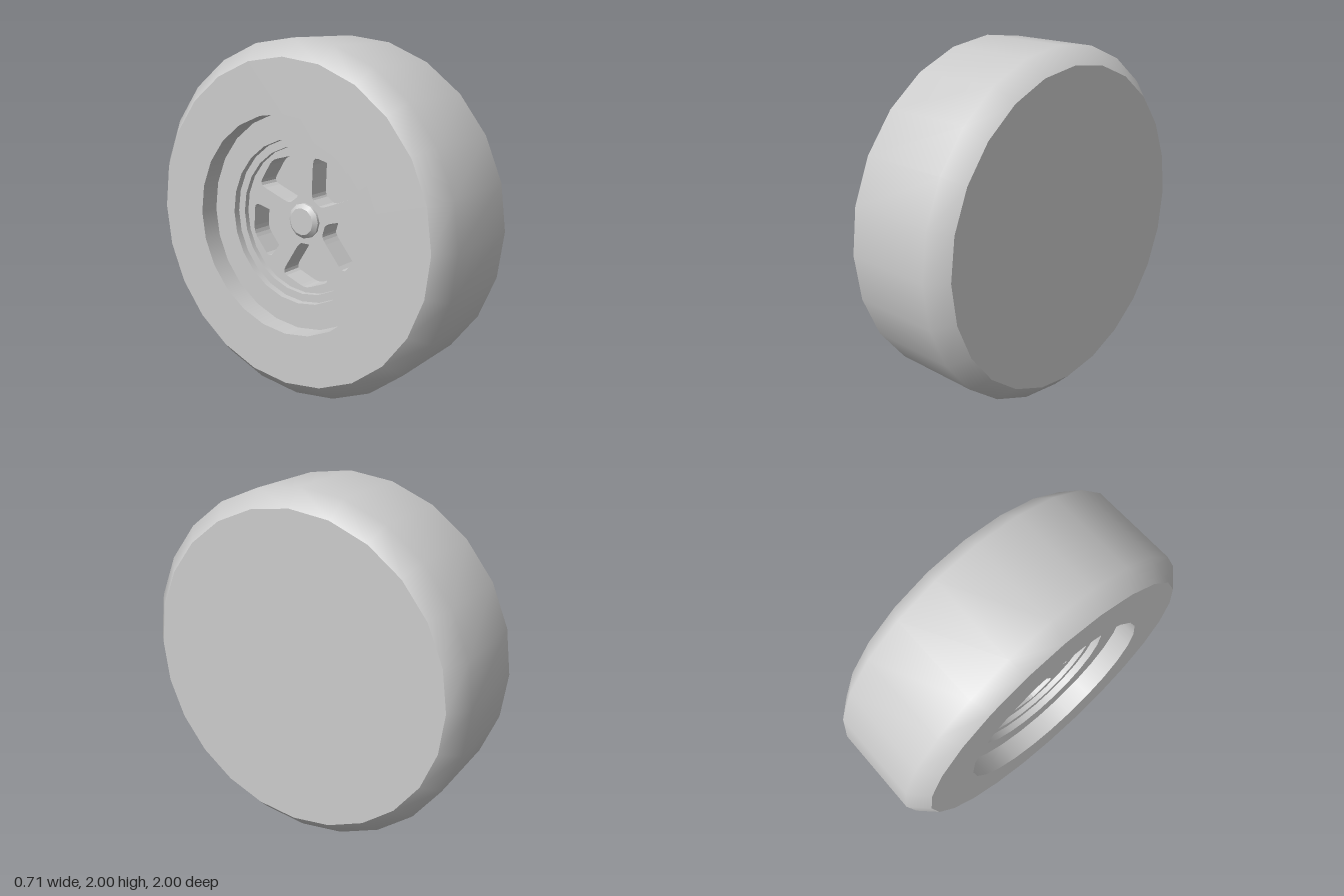
import * as THREE from 'three';

const SPOKES = 5;
const material = new THREE.MeshStandardMaterial({ color: 0xcccccc });

// Lathe each profile section separately: smooth inside a section, sharp between
// sections. Points are [radius, height]; height runs towards the open side (-x).
function turned(name, sections, sides) {
  const group = new THREE.Group();
  group.name = name;
  sections.forEach((section, i) => {
    const points = section.map(([r, h]) => new THREE.Vector2(r, h));
    const geometry = new THREE.LatheGeometry(points, sides);
    geometry.rotateZ(Math.PI / 2);
    const mesh = new THREE.Mesh(geometry, material);
    mesh.name = `${name}Surface${i + 1}`;
    group.add(mesh);
  });
  return group;
}

// Window between two spokes: a wedge with rounded corners.
function windowPath(angle) {
  const at = (r, degrees) => {
    const a = angle + THREE.MathUtils.degToRad(degrees);
    return new THREE.Vector2(r * Math.cos(a), r * Math.sin(a));
  };
  const corners = [at(0.14, -17), at(0.37, -27), at(0.395, 0), at(0.37, 27), at(0.14, 17)];
  const path = new THREE.Path();
  corners.forEach((corner, i) => {
    const before = corners[(i + corners.length - 1) % corners.length];
    const after = corners[(i + 1) % corners.length];
    const start = corner.clone().lerp(before, 0.2);
    const end = corner.clone().lerp(after, 0.2);
    if (i === 0) path.moveTo(start.x, start.y);
    else path.lineTo(start.x, start.y);
    path.quadraticCurveTo(corner.x, corner.y, end.x, end.y);
  });
  path.closePath();
  return path;
}

function spokeDisc() {
  const shape = new THREE.Shape();
  const sides = 24;
  for (let i = 0; i < sides; i++) {
    const a = (i / sides) * Math.PI * 2;
    const x = 0.425 * Math.cos(a), y = 0.425 * Math.sin(a);
    if (i === 0) shape.moveTo(x, y);
    else shape.lineTo(x, y);
  }
  shape.closePath();
  // One spoke points straight up, so windows sit half a step away from it
  for (let i = 0; i < SPOKES; i++) {
    shape.holes.push(windowPath(Math.PI / 2 + ((i + 0.5) / SPOKES) * Math.PI * 2));
  }
  const geometry = new THREE.ExtrudeGeometry(shape, { depth: 0.13, bevelEnabled: false, curveSegments: 3 });
  geometry.rotateY(-Math.PI / 2);
  const mesh = new THREE.Mesh(geometry, material);
  mesh.name = 'spokes';
  mesh.position.x = -0.04;
  return mesh;
}

export function createModel() {
  const wheel = new THREE.Group();
  wheel.name = 'wheel';

  // Tyre: closed inner face, rounded tread, flat outer sidewall
  wheel.add(turned('tyre', [
    [[0, -0.357], [0.905, -0.357]],
    [[0.905, -0.357], [1, -0.26], [1, 0.26], [0.905, 0.357]],
    [[0.905, 0.357], [0.61, 0.357]],
  ], 24));

  // Rim: stepped well leading down to a floor behind the spokes
  wheel.add(turned('rim', [
    [[0.61, 0.357], [0.61, 0.24]],
    [[0.61, 0.24], [0.465, 0.24]],
    [[0.465, 0.24], [0.465, 0.2]],
    [[0.465, 0.2], [0.42, 0.2]],
    [[0.42, 0.2], [0.42, 0.04]],
    [[0.42, 0.04], [0, 0.04]],
  ], 24));

  wheel.add(spokeDisc());

  // Hub cap with a bevelled edge
  wheel.add(turned('hub', [
    [[0.1, 0.04], [0.1, 0.185]],
    [[0.1, 0.185], [0.077, 0.205]],
    [[0.077, 0.205], [0, 0.205]],
  ], 12));

  wheel.position.y = 1;
  const model = new THREE.Group();
  model.name = 'model';
  model.add(wheel);
  return model;
}
